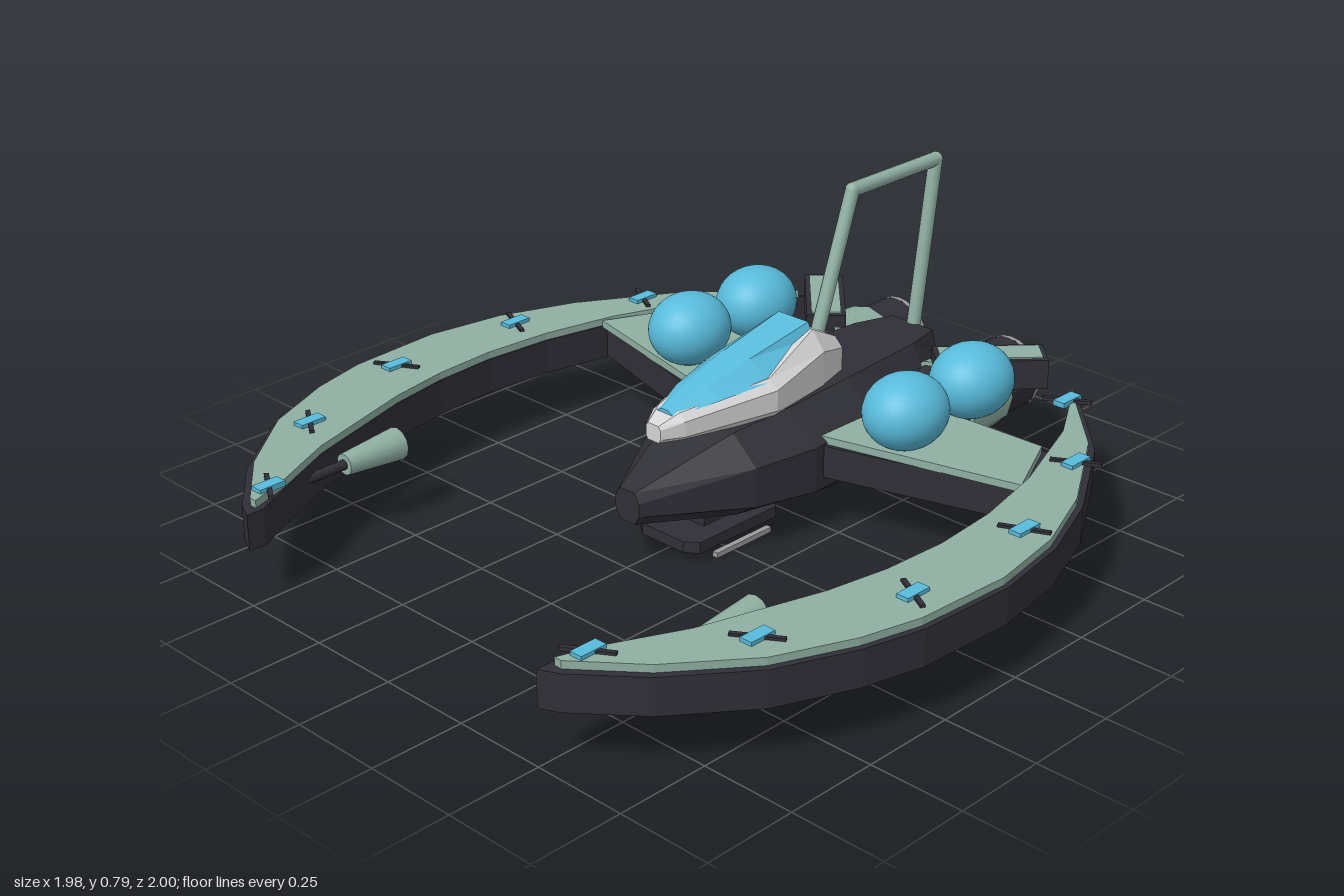
import * as THREE from 'three';

const mat = (name, color, extra = {}) => {
  const m = new THREE.MeshStandardMaterial({ color, ...extra });
  m.name = name;
  return m;
};

// Closed loft through rings listed front (+z) to back, each counter-clockwise seen from +z
function loft(rings) {
  const pos = [], n = rings[0].length;
  const tri = (a, b, c) => pos.push(...a, ...b, ...c);
  for (let i = 0; i < rings.length - 1; i++) {
    for (let j = 0; j < n; j++) {
      const k = (j + 1) % n;
      const a = rings[i][j], b = rings[i][k], c = rings[i + 1][k], d = rings[i + 1][j];
      tri(a, d, b);
      tri(b, d, c);
    }
  }
  const last = rings[rings.length - 1];
  for (let j = 1; j < n - 1; j++) {
    tri(rings[0][0], rings[0][j], rings[0][j + 1]);
    tri(last[0], last[j + 1], last[j]);
  }
  const g = new THREE.BufferGeometry();
  g.setAttribute('position', new THREE.Float32BufferAttribute(pos, 3));
  g.computeVertexNormals();
  return g;
}

// Eight-sided section: side width, side heights, top half width/height, bottom half width/height
const octagon = ([z, w, lo, hi, wt, top, wb, bot]) => [
  [w, lo, z], [w, hi, z], [wt, top, z], [-wt, top, z],
  [-w, hi, z], [-w, lo, z], [-wb, bot, z], [wb, bot, z]];

// Horizontal slab from an (x, z) outline
function slab(points, y0, y1) {
  const shape = new THREE.Shape(points.map(([x, z]) => new THREE.Vector2(x, z)));
  const g = new THREE.ExtrudeGeometry(shape, { depth: y1 - y0, bevelEnabled: false });
  g.rotateX(Math.PI / 2);
  g.translate(0, y1, 0);
  return g;
}

// Cylinder between two points, with a radius at each end
function rod(a, b, r0, r1 = r0, sides = 12) {
  const p = new THREE.Vector3(...a), q = new THREE.Vector3(...b);
  const d = q.clone().sub(p);
  const g = new THREE.CylinderGeometry(r1, r0, d.length(), sides);
  g.applyQuaternion(new THREE.Quaternion().setFromUnitVectors(new THREE.Vector3(0, 1, 0), d.normalize()));
  const c = p.add(q).multiplyScalar(0.5);
  return g.translate(c.x, c.y, c.z);
}

export function createModel() {
  const model = new THREE.Group();
  model.name = 'starfighter';
  const dark = mat('charcoal', 0x302f37, { flatShading: true });
  const green = mat('sage green', 0x8fafa2);
  const blue = mat('sky blue', 0x58bbdb);
  const white = mat('pale grey', 0xd4d4d6, { flatShading: true });
  const grey = mat('mid grey', 0x9b9b9b);
  const add = (name, geo, material, parent = model) => {
    const m = new THREE.Mesh(geo, material);
    m.name = name;
    parent.add(m);
    return m;
  };

  // Faceted fuselage
  add('hull', loft([
    [0.245, 0.04, 0.15, 0.185, 0.025, 0.21, 0.025, 0.125],
    [-0.02, 0.18, 0.13, 0.235, 0.1, 0.305, 0.11, 0.085],
    [-0.2, 0.215, 0.12, 0.24, 0.12, 0.32, 0.12, 0.065],
    [-0.42, 0.205, 0.115, 0.25, 0.12, 0.33, 0.12, 0.04],
    [-0.7, 0.15, 0.12, 0.25, 0.1, 0.33, 0.09, 0.07],
    [-0.82, 0.09, 0.14, 0.25, 0.07, 0.325, 0.06, 0.12],
  ].map(octagon)), dark);

  // Canopy frame and glass
  add('canopyFrame', loft([
    [0.155, 0.025, 0.32, 0.345, 0.018, 0.355, 0.018, 0.31],
    [0.1, 0.055, 0.32, 0.36, 0.035, 0.378, 0.045, 0.31],
    [-0.15, 0.128, 0.33, 0.385, 0.1, 0.41, 0.11, 0.305],
    [-0.345, 0.105, 0.33, 0.42, 0.065, 0.47, 0.09, 0.305],
    [-0.45, 0.075, 0.33, 0.39, 0.05, 0.415, 0.06, 0.31],
  ].map(octagon)), white);
  add('canopyGlass', loft([
    [0.115, 0.03, 0.37, 0.012, 0.381],
    [0.0, 0.073, 0.388, 0.03, 0.412],
    [-0.14, 0.105, 0.402, 0.042, 0.447],
    [-0.345, 0.068, 0.45, 0.05, 0.486],
  ].map(([z, w, y, wt, top]) => [
    [w, y, z], [wt, top, z], [-wt, top, z], [-w, y, z]])), blue);

  // Tubular frame behind the canopy
  const frame = [[0, 0.38, -0.425], [0, 0.768, -0.56], [0, 0.768, -0.89], [0, 0.32, -0.825]];
  for (let i = 0; i < 3; i++) add('frameTube', rod(frame[i], frame[i + 1], 0.019), green);
  for (const p of [frame[1], frame[2]]) {
    add('frameJoint', new THREE.SphereGeometry(0.0195, 12, 8).translate(...p), green);
  }

  // Belly skid
  const skid = [[0.125, 0.07], [0.1, 0.105], [-0.175, 0.105], [-0.2, 0.07]];
  add('bellySkid', slab([...skid.map(([z, x]) => [x, z]),
    ...skid.map(([z, x]) => [-x, z]).reverse()], 0.02, 0.05), dark);
  add('skidStrut', new THREE.BoxGeometry(0.1, 0.06, 0.18).translate(0, 0.07, -0.06), dark);

  // Crescent outlines: outer edge front to back, inner edge back to front
  const outer = [[0.5, 0.998], [0.55, 0.975], [0.7, 0.85], [0.85, 0.66], [0.935, 0.46], [0.975, 0.3],
    [0.99, 0.03], [0.955, -0.19], [0.875, -0.4], [0.715, -0.667], [0.55, -0.84], [0.46, -0.92]];
  const inner = [[0.52, -0.82], [0.61, -0.67], [0.71, -0.4], [0.755, -0.19], [0.77, 0],
    [0.76, 0.18], [0.73, 0.35], [0.635, 0.67], [0.55, 0.85], [0.5, 0.95]];
  const plateOuter = outer.slice(1, -1).map(([x, z]) => [x - 0.014, z * 0.985]);
  const plate = [[0.515, 0.96], ...plateOuter, [0.475, -0.895],
    ...inner.slice(0, -1).map(([x, z]) => [x + 0.004, z])];
  const clips = [[0.515, -0.82, 30], [0.745, -0.545, 30], [0.87, -0.18, 25],
    [0.88, 0.23, -30], [0.765, 0.605, 33], [0.55, 0.895, 32]];

  for (const s of [1, -1]) {
    const side = new THREE.Group();
    side.name = s > 0 ? 'leftSide' : 'rightSide';
    model.add(side);
    const flip = (pts) => pts.map(([x, z]) => [s * x, z]);

    // Crescent blade with inset top plate
    add('crescent', slab(flip([...outer, ...inner]), 0.145, 0.24), dark, side);
    add('crescentPlate', slab(flip(plate), 0.24, 0.26), green, side);

    // Clips along the crescent
    for (const [x, z, deg] of clips) {
      add('clip', new THREE.BoxGeometry(0.034, 0.014, 0.074).translate(s * x, 0.263, z), blue, side);
      const bar = add('clipBar', new THREE.BoxGeometry(0.125, 0.01, 0.012), dark, side);
      bar.position.set(s * x, 0.262, z);
      bar.rotation.y = s * deg * Math.PI / 180;
    }

    // Wing joining hull and crescent
    add('wing', slab(flip([[0.12, -0.2], [0.74, -0.385], [0.64, -0.585], [0.12, -0.585]]), 0.15, 0.236), dark, side);
    add('wingPlate', slab(flip([[0.15, -0.225], [0.72, -0.365], [0.625, -0.57], [0.15, -0.555]]), 0.236, 0.256), green, side);

    // Domes on the wing
    for (const z of [-0.35, -0.607]) {
      const dome = add('dome', new THREE.SphereGeometry(1, 32, 20), blue, side);
      dome.scale.set(0.104, 0.097, 0.116);
      dome.position.set(s * 0.37, 0.343, z);
    }

    // Forward cannon
    add('cannonBody', rod([s * 0.615, 0.2, 0.45], [s * 0.615, 0.2, 0.62], 0.043, 0.028), green, side);
    add('cannonBarrel', rod([s * 0.615, 0.2, 0.61], [s * 0.615, 0.2, 0.76], 0.013), dark, side);

    // Engine: intake, collar, nozzle and glowing end
    const ex = s * 0.195, ey = 0.187;
    const part = (name, z0, z1, r0, r1, sides, m) =>
      add(name, rod([ex, ey, z0], [ex, ey, z1], r0, r1, sides), m, side);
    part('engineIntake', -0.5, -0.72, 0.075, 0.112, 12, dark);
    part('engineCollar', -0.7, -0.87, 0.12, 0.112, 12, green);
    part('engineNozzle', -0.86, -0.988, 0.094, 0.1, 20, dark);
    const ring = new THREE.RingGeometry(0.077, 0.101, 24).rotateY(Math.PI).translate(ex, ey, -1);
    add('nozzleRing', ring, grey, side);
    const rim = new THREE.CylinderGeometry(0.101, 0.101, 0.014, 24, 1, true).rotateX(Math.PI / 2);
    add('nozzleRim', rim.translate(ex, ey, -0.993), grey, side);
    part('engineGlow', -0.98, -0.992, 0.055, 0.055, 20, blue);
    for (let i = 0; i < 8; i++) {
      const spoke = new THREE.BoxGeometry(0.04, 0.007, 0.006).translate(0.06, 0, 0);
      add('nozzleSpoke', spoke.rotateZ(i * Math.PI / 4).translate(ex, ey, -0.994), i % 2 ? grey : dark, side);
    }

    // Angled fin above the engine
    const fin = new THREE.Group();
    fin.name = 'fin';
    fin.position.set(s * 0.285, 0, -0.79);
    fin.rotation.y = s * Math.PI * 0.26;
    side.add(fin);
    add('finBase', new THREE.BoxGeometry(0.29, 0.08, 0.105).translate(0, 0.292, 0), dark, fin);
    add('finPlate', new THREE.BoxGeometry(0.265, 0.006, 0.08).translate(0, 0.333, 0), green, fin);

    // Rail beside the skid
    add('skidRail', new THREE.BoxGeometry(0.016, 0.014, 0.195).translate(s * 0.118, 0.007, -0.037), grey, side);
  }
  return model;
}
